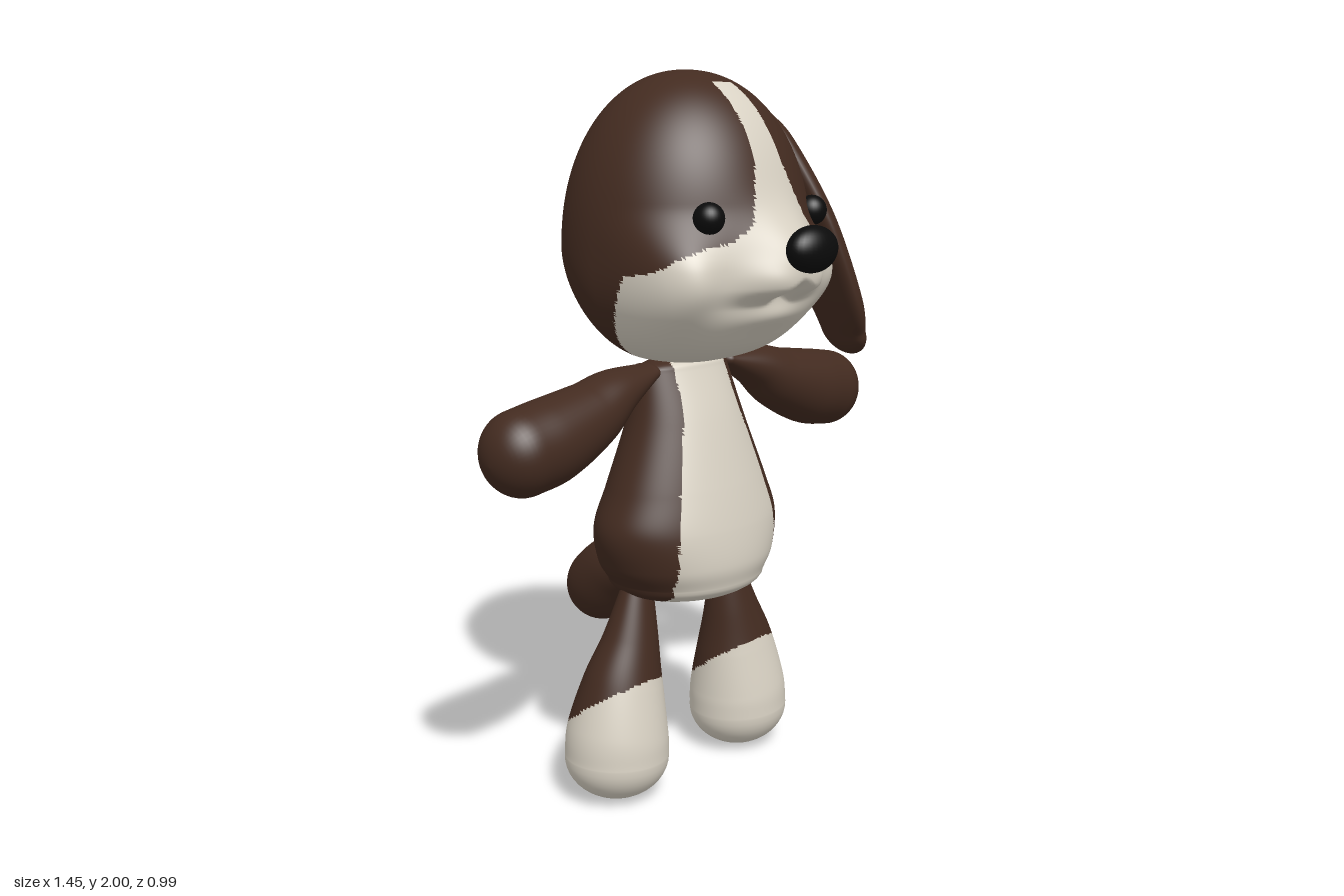
import * as THREE from 'three';
import { mergeVertices } from 'three/addons/utils/BufferGeometryUtils.js';

const material = (name, color) => Object.assign(new THREE.MeshStandardMaterial({ color }), { name });
const gauss = (d, s) => Math.exp(-(d * d) / (2 * s * s));
const smoothstep = THREE.MathUtils.smoothstep;

// Piecewise linear lookup in [[key, value], ...]
function lookup(table, k) {
  if (k <= table[0][0]) return table[0][1];
  for (let i = 1; i < table.length; i++) {
    const [k0, v0] = table[i - 1], [k1, v1] = table[i];
    if (k <= k1) return v0 + (v1 - v0) * (k - k0) / (k1 - k0);
  }
  return table[table.length - 1][1];
}

// Smooth round-ended form; stations are [x, y, z, radius along ref, other radius]
function loft(stations, ref, capStart, capEnd, steps = 40, sides = 48) {
  const centres = new THREE.CatmullRomCurve3(stations.map(s => new THREE.Vector3(s[0], s[1], s[2])), false, 'catmullrom');
  const radii = new THREE.CatmullRomCurve3(stations.map(s => new THREE.Vector3(s[3], s[4], 0)), false, 'catmullrom');
  const caps = 12, rings = [];
  const addRing = (t, shift, scale) => {
    const T = centres.getTangent(t);
    const r = radii.getPoint(t).multiplyScalar(scale);
    rings.push({ T, r, c: centres.getPoint(t).addScaledVector(T, shift) });
  };
  for (let i = 0; i < caps; i++) {
    const a = (i / caps) * Math.PI / 2;
    addRing(0, -capStart * Math.cos(a), Math.sin(a));
  }
  for (let i = 0; i <= steps; i++) addRing(i / steps, 0, 1);
  for (let i = 1; i <= caps; i++) {
    const a = (i / caps) * Math.PI / 2;
    addRing(1, capEnd * Math.sin(a), Math.cos(a));
  }
  const pos = [], index = [];
  rings.forEach(({ T, r, c }, i) => {
    const U = new THREE.Vector3(...ref).addScaledVector(T, -T.dot(new THREE.Vector3(...ref))).normalize();
    const V = T.clone().cross(U);
    for (let j = 0; j < sides; j++) {
      const a = (j / sides) * Math.PI * 2;
      const p = c.clone().addScaledVector(U, Math.cos(a) * r.x).addScaledVector(V, Math.sin(a) * r.y);
      pos.push(p.x, p.y, p.z);
      if (i === rings.length - 1) continue;
      const k = (j + 1) % sides, lo = i * sides, hi = lo + sides;
      index.push(lo + j, lo + k, hi + j, lo + k, hi + k, hi + j);
    }
  });
  const g = new THREE.BufferGeometry();
  g.setAttribute('position', new THREE.Float32BufferAttribute(pos, 3));
  g.setIndex(index);
  g.computeVertexNormals();
  return g;
}

// Sort faces into two material groups: 1 where the rule holds at the face centre
function paint(g, rule) {
  const p = g.attributes.position, idx = g.index.array, parts = [[], []];
  for (let i = 0; i < idx.length; i += 3) {
    const f = [idx[i], idx[i + 1], idx[i + 2]];
    const mid = get => (get(f[0]) + get(f[1]) + get(f[2])) / 3;
    const hit = rule(mid(v => p.getX(v)), mid(v => p.getY(v)), mid(v => p.getZ(v)));
    parts[hit ? 1 : 0].push(...f);
  }
  g.setIndex(parts[0].concat(parts[1]));
  g.clearGroups();
  g.addGroup(0, parts[0].length, 0);
  g.addGroup(parts[0].length, parts[1].length, 1);
  return g;
}

// Domed head with full cheeks, two-lobed muzzle and lower lip
function headGeometry() {
  let g = new THREE.SphereGeometry(1, 220, 150);
  g.deleteAttribute('uv');
  g.deleteAttribute('normal');
  g = mergeVertices(g, 1e-5);
  const p = g.attributes.position;
  for (let i = 0; i < p.count; i++) {
    const nx = p.getX(i), ny = p.getY(i), nz = p.getZ(i);
    const y = 1.53 + ny * (ny > 0 ? 0.47 : 0.31);
    // Squarer side outline, and squarer cheeks low on the front
    const flat = Math.max(Math.hypot(nx, nz), 1e-6), e = ny > 0 ? 2.1 : 2.5;
    let r = Math.pow(Math.max(1 - Math.pow(Math.abs(ny), e), 0), 1 / e) / flat;
    if (nz > 0) {
      const q = 2 + 0.6 * (1 - smoothstep(y, 1.5, 1.66));
      r *= Math.pow(Math.pow(Math.abs(nx) / flat, q) + Math.pow(nz / flat, q), -1 / q);
    }
    const x = nx * r * 0.352, ax = Math.abs(x);
    let z = nz * r * (nz > 0 ? 0.335 : 0.318);
    if (nz < 0 && ny < 0) z *= 1 - 0.6 * Math.pow(-ny, 1.5);
    const lip = 1.395 + 0.025 * gauss(x, 0.025);
    const snout = y > 1.51 ? gauss(y - 1.51, 0.08) : smoothstep(y, lip, lip + 0.055);
    const bump = 0.088 * gauss(x, 0.085) * snout
      + 0.026 * gauss(ax - 0.095, 0.045) * gauss(y - 1.47, 0.035)
      + 0.055 * gauss(ax - 0.3, 0.06) * gauss(y - 1.45, 0.08)
      + 0.02 * gauss(x, 0.1) * gauss(y - 1.365, 0.025);
    z += bump * smoothstep(nz, 0, 0.5);
    p.setXYZ(i, x, y, z);
  }
  g.computeVertexNormals();
  return g;
}

export function createModel() {
  const brown = material('brown fur', 0x432b20);
  const cream = material('cream fur', 0xd9d2c4);
  const black = material('black', 0x0b0b0b);
  const model = new THREE.Group();
  model.name = 'puppy';
  const add = (name, geometry, mat) => {
    const mesh = new THREE.Mesh(geometry, mat);
    mesh.name = name;
    model.add(mesh);
    return mesh;
  };
  const ball = (name, pos, size) => {
    const mesh = add(name, new THREE.SphereGeometry(1, 32, 24), black);
    mesh.position.set(...pos);
    mesh.scale.set(...size);
  };

  // Head with blaze and pale lower face
  const faceLine = [[0.025, 2.1], [0.038, 1.97], [0.042, 1.93], [0.052, 1.77], [0.08, 1.68], [0.105, 1.62],
    [0.16, 1.57], [0.24, 1.555], [0.3, 1.53], [0.35, 1.48]];
  add('head', paint(headGeometry(), (x, y, z) =>
    y < lookup(faceLine, Math.abs(x)) && (y > 1.7 ? z > 0.13 : y < 1.45 + 2 * (z - 0.09))), [brown, cream]);
  ball('nose', [0, 1.55, 0.441], [0.087, 0.061, 0.05]);

  // Single floppy ear on the left
  add('leftEar', loft([
    [0.285, 1.875, 0.02, 0.06, 0.03], [0.335, 1.8, 0.035, 0.122, 0.044], [0.425, 1.6, 0.075, 0.188, 0.055],
    [0.497, 1.37, 0.13, 0.178, 0.052], [0.532, 1.26, 0.145, 0.133, 0.044],
  ], [0.5, 0, -0.87], 0.038, 0.075), brown);

  // Body with pale belly panel
  const bellyLine = [[0.56, 0.17], [0.62, 0.195], [0.74, 0.2], [0.88, 0.172], [1.1, 0.108], [1.25, 0.1]];
  add('body', paint(loft([
    [0, 0.61, 0.005, 0.243, 0.203], [0, 0.67, 0.005, 0.283, 0.215], [0, 0.77, 0.005, 0.306, 0.205],
    [0, 0.88, 0.005, 0.265, 0.18], [0, 1.05, 0, 0.198, 0.135], [0, 1.2, -0.01, 0.16, 0.085],
  ], [1, 0, 0], 0.066, 0.035, 90, 128), (x, y, z) => z > 0.035 && Math.abs(x) < lookup(bellyLine, y)), [brown, cream]);

  // Mirrored eyes, arms and legs
  for (const [side, s] of [['left', 1], ['right', -1]]) {
    ball(side + 'Eye', [s * 0.208, 1.63, 0.274], [0.041, 0.041, 0.041]);
    add(side + 'Arm', loft([
      [s * 0.16, 1.2, 0, 0.025, 0.05], [s * 0.29, 1.163, 0.008, 0.064, 0.08], [s * 0.39, 1.115, 0.012, 0.092, 0.097],
      [s * 0.52, 1.073, 0.012, 0.113, 0.111], [s * 0.62, 1.055, 0.012, 0.114, 0.109],
    ], [0, 1, 0], 0.03, 0.105), brown);
    add(side + 'Leg', paint(loft([
      [s * 0.185, 0.59, -0.01, 0.05, 0.042], [s * 0.212, 0.45, -0.01, 0.085, 0.075],
      [s * 0.238, 0.33, -0.015, 0.121, 0.107], [s * 0.256, 0.2, -0.02, 0.146, 0.138],
      [s * 0.26, 0.12, -0.02, 0.15, 0.144],
    ], [1, 0, 0], 0.03, 0.12, 70, 64), (x, y, z) => y < Math.min(0.36, 0.3 + 0.69 * z)), [brown, cream]);
  }

  // Curled tail
  add('tail', loft([
    [-0.005, 0.62, -0.14, 0.08, 0.08], [0, 0.56, -0.27, 0.1, 0.1], [0.03, 0.482, -0.365, 0.112, 0.112],
    [0.08, 0.465, -0.408, 0.094, 0.094], [0.13, 0.465, -0.415, 0.07, 0.07],
  ], [0, 1, 0], 0.04, 0.06), brown);

  return model;
}
